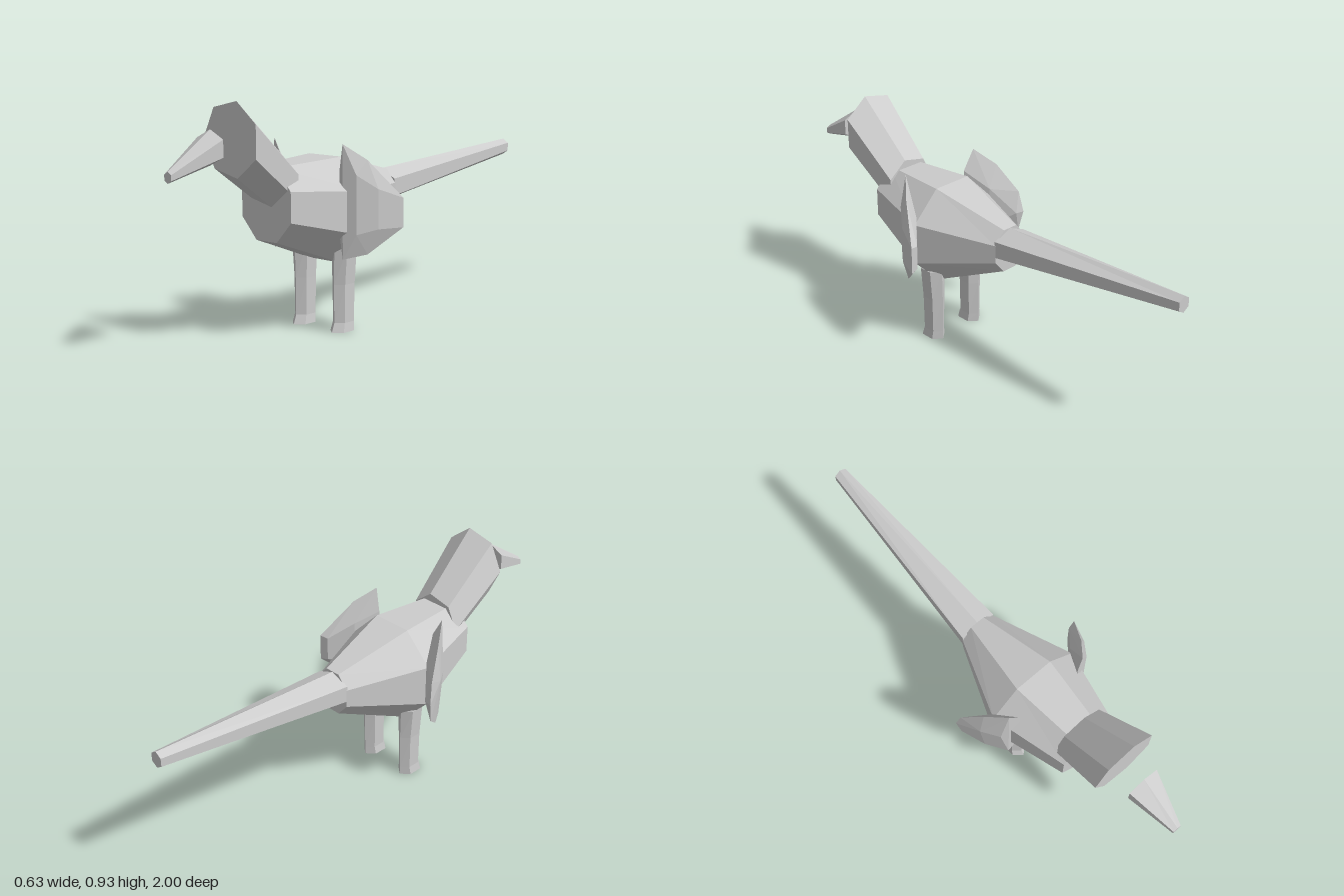
import * as THREE from 'three';
import { ConvexGeometry } from 'three/addons/geometries/ConvexGeometry.js';

const V = (x, y, z) => new THREE.Vector3(x, y, z);

// Polygon ring facing +z, centred on x = 0
function ringZ(n, phase, rx, ry, cy, z) {
  return Array.from({ length: n }, (_, i) => {
    const a = phase + (i / n) * Math.PI * 2;
    return V(Math.cos(a) * rx, cy + Math.sin(a) * ry, z);
  });
}

// Hexagonal ring facing +y, with a corner towards the front
function ringY(rx, rz, cx, cz, y) {
  return Array.from({ length: 6 }, (_, i) => {
    const a = (i / 6) * Math.PI * 2;
    return V(cx + Math.sin(a) * rx, y, cz + Math.cos(a) * rz);
  });
}

// Skin a row of rings and close both ends
function loft(rings) {
  const pts = [];
  const n = rings[0].length;
  for (let k = 0; k < rings.length - 1; k++) {
    for (let i = 0; i < n; i++) {
      const j = (i + 1) % n;
      const a = rings[k][i], b = rings[k][j], c = rings[k + 1][j], d = rings[k + 1][i];
      pts.push(a, b, c, a, c, d);
    }
  }
  const first = rings[0], last = rings[rings.length - 1];
  for (let i = 1; i < n - 1; i++) {
    pts.push(first[0], first[i + 1], first[i]);
    pts.push(last[0], last[i], last[i + 1]);
  }
  const g = new THREE.BufferGeometry().setFromPoints(pts);
  g.computeVertexNormals();
  return g;
}

export function createModel() {
  const group = new THREE.Group();
  const grey = new THREE.MeshStandardMaterial({ color: 0xcccccc, flatShading: true });
  grey.name = 'plain grey';

  const add = (name, geometry) => {
    const mesh = new THREE.Mesh(geometry, grey);
    mesh.name = name;
    group.add(mesh);
  };

  // Octagonal body; half sizes are measured to the flats
  const e = Math.PI / 8, f = Math.cos(e);
  add('body', loft([
    ringZ(8, e, 0.08 / f, 0.092 / f, 0.51, -0.135),
    ringZ(8, e, 0.207 / f, 0.21 / f, 0.475, 0.2),
    ringZ(8, e, 0.13 / f, 0.142 / f, 0.527, 0.525),
  ]));

  // Seven-sided head and neck
  add('head', loft([
    ringZ(7, Math.PI, 0.12, 0.12, 0.59, 0.46),
    ringZ(7, Math.PI, 0.145, 0.145, 0.785, 0.7),
  ]));

  // Hexagonal beak and tail
  const up = Math.PI / 2;
  add('beak', loft([
    ringZ(6, up, 0.079, 0.065, 0.765, 0.8),
    ringZ(6, up, 0.021, 0.021, 0.675, 1),
  ]));
  add('tail', loft([
    ringZ(6, up, 0.031, 0.035, 0.62, -1),
    ringZ(6, up, 0.092, 0.07, 0.53, -0.13),
  ]));

  // Legs with slightly flared feet
  for (const s of [1, -1]) {
    add(s > 0 ? 'leftLeg' : 'rightLeg', loft([
      ringY(0.041, 0.06, s * 0.104, 0.216, 0),
      ringY(0.036, 0.053, s * 0.104, 0.209, 0.037),
      ringY(0.039, 0.055, s * 0.104, 0.208, 0.19),
      ringY(0.048, 0.056, s * 0.107, 0.208, 0.33),
    ]));
  }

  // Left wing: a faceted lens with a blunt rear edge
  add('leftWing', new ConvexGeometry([
    V(0.172, 0.747, 0.287), V(0.172, 0.302, 0.287),
    V(0.155, 0.64, 0.287), V(0.155, 0.4, 0.287),
    V(0.222, 0.63, 0.265), V(0.222, 0.4, 0.265),
    V(0.235, 0.685, 0.215), V(0.235, 0.32, 0.215),
    V(0.275, 0.575, 0.198), V(0.275, 0.42, 0.198),
    V(0.315, 0.535, 0.097), V(0.315, 0.42, 0.097),
    V(0.28, 0.53, 0.105), V(0.28, 0.43, 0.105),
    V(0.205, 0.6, 0.19), V(0.205, 0.42, 0.19),
  ]));

  // Right wing: the same lens, turned by half a facet
  add('rightWing', new ConvexGeometry([
    V(-0.198, 0.747, 0.282), V(-0.198, 0.302, 0.282),
    V(-0.148, 0.66, 0.287), V(-0.15, 0.38, 0.287),
    V(-0.228, 0.525, 0.268),
    V(-0.255, 0.685, 0.2), V(-0.255, 0.318, 0.2),
    V(-0.275, 0.53, 0.198),
    V(-0.303, 0.572, 0.115), V(-0.303, 0.39, 0.115),
    V(-0.315, 0.48, 0.097), V(-0.28, 0.48, 0.105),
    V(-0.205, 0.59, 0.19), V(-0.205, 0.42, 0.19),
  ]));

  return group;
}
